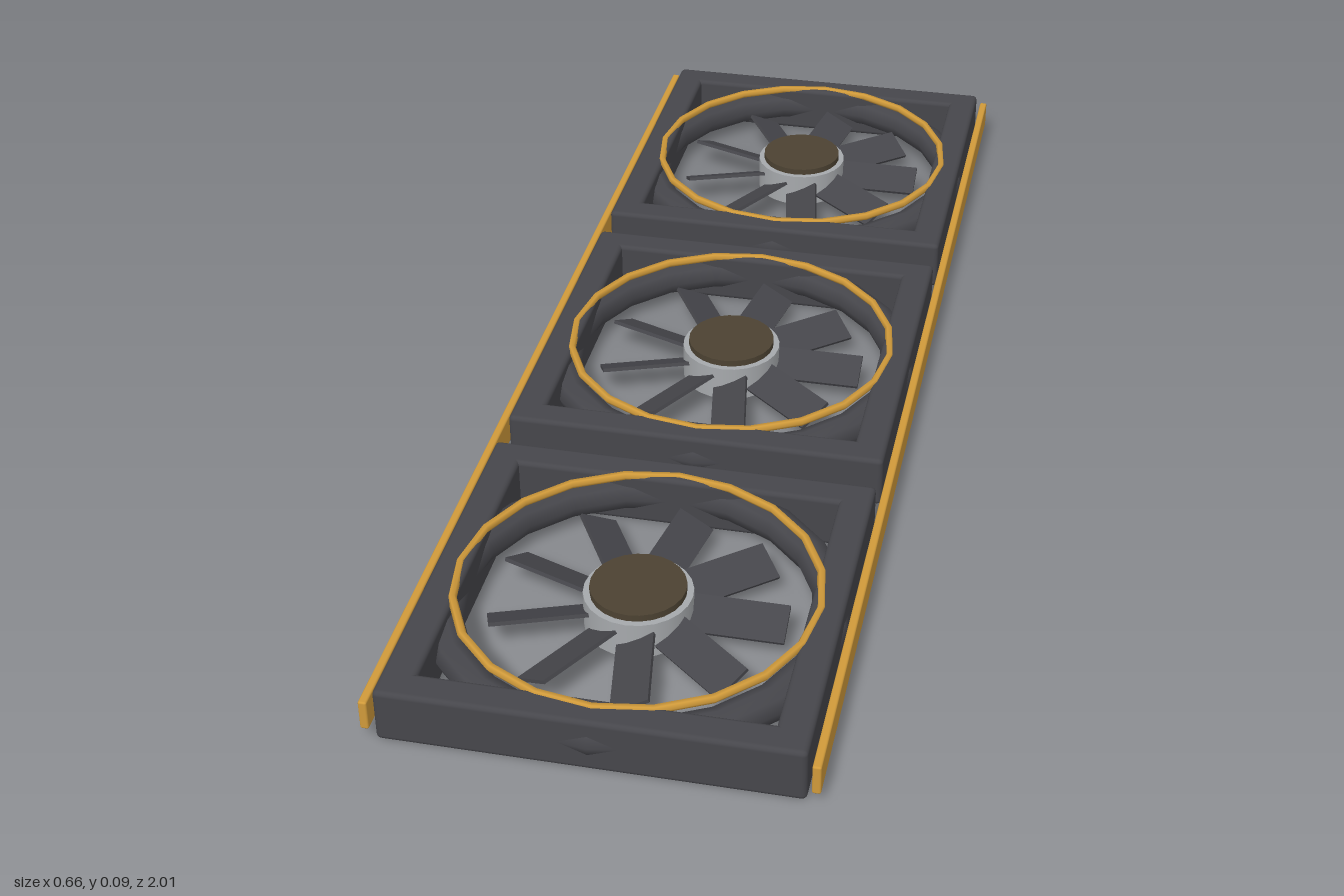
import * as THREE from 'three';
import { RoundedBoxGeometry } from 'three/addons/geometries/RoundedBoxGeometry.js';

const mat = (name, color) => {
  const m = new THREE.MeshStandardMaterial({ color });
  m.name = name;
  return m;
};

function add(parent, name, geometry, material, x = 0, y = 0, z = 0) {
  const mesh = new THREE.Mesh(geometry, material);
  mesh.name = name;
  mesh.position.set(x, y, z);
  parent.add(mesh);
  return mesh;
}

export function createModel() {
  const dark = mat('dark plastic', 0x46464b);
  const gold = mat('gold trim', 0xd09a3a);
  const grey = mat('hub grey', 0xa6a9ac);
  const brown = mat('cap brown', 0x4c4232);

  // Shared geometries
  const SIZE = 0.62, BAR = 0.052, H = 0.088, MID = 0.045;
  const crossBar = new RoundedBoxGeometry(SIZE, H, BAR, 2, 0.008);
  const sideBar = new RoundedBoxGeometry(BAR, H, SIZE, 2, 0.008);
  const duct = new THREE.TorusGeometry(0.289, 0.028, 8, 20).rotateX(Math.PI / 2);
  const ring = new THREE.TorusGeometry(0.275, 0.007, 6, 20).rotateX(Math.PI / 2);
  const hub = new THREE.CylinderGeometry(0.083, 0.083, 0.06, 24);
  const cap = new THREE.CylinderGeometry(0.073, 0.073, 0.012, 24);
  const blade = new THREE.BoxGeometry(0.155, 0.006, 0.062);

  function makeFan() {
    const fan = new THREE.Group();
    fan.name = 'fan';

    // Square housing with a round duct and a gold rim
    for (const s of [-1, 1]) {
      const off = s * (SIZE - BAR) / 2;
      add(fan, 'frameCrossBar', crossBar, dark, 0, H / 2, off);
      add(fan, 'frameSideBar', sideBar, dark, off, H / 2, 0);
    }
    add(fan, 'duct', duct, dark, 0, MID, 0);
    add(fan, 'rimRing', ring, gold, 0, 0.085, 0);

    // Hub, cap and nine pitched blades
    add(fan, 'hub', hub, grey, 0, MID, 0);
    add(fan, 'hubCap', cap, brown, 0, 0.08, 0);
    for (let i = 0; i < 9; i++) {
      const arm = new THREE.Group();
      arm.name = 'bladeArm';
      arm.rotation.y = (i / 9) * Math.PI * 2;
      add(arm, 'blade', blade, dark, 0.148, MID, 0).rotation.x = 0.45;
      fan.add(arm);
    }
    return fan;
  }

  const model = new THREE.Group();
  model.name = 'tripleFanUnit';
  for (const i of [-1, 0, 1]) {
    const fan = makeFan();
    fan.position.z = i * 0.686;
    model.add(fan);
  }

  // Long gold rails along both sides
  const rail = new RoundedBoxGeometry(0.013, 0.049, 2, 2, 0.003);
  for (const s of [-1, 1]) add(model, 'sideRail', rail, gold, s * 0.3235, MID, 0);

  return model;
}
